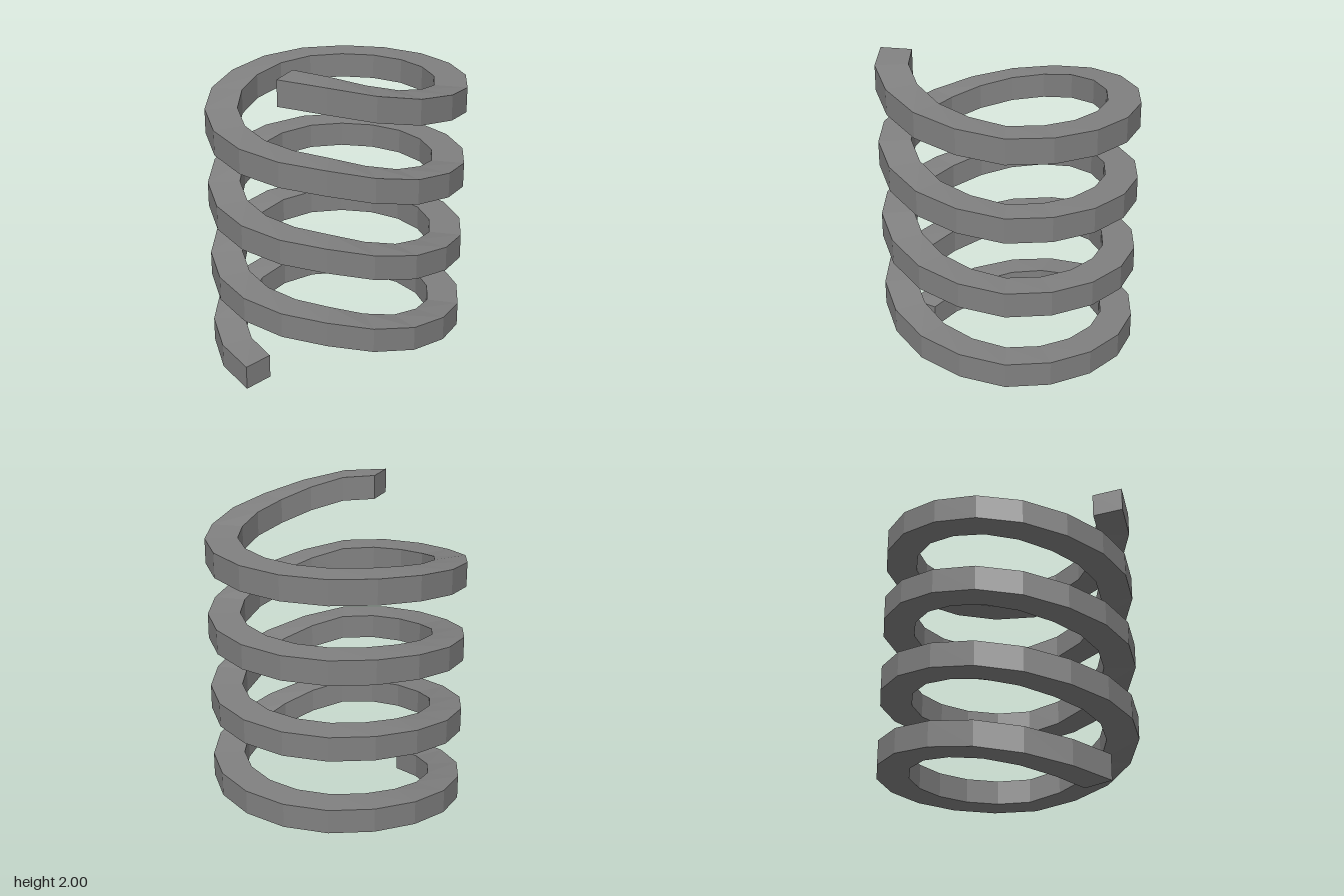
import * as THREE from 'three';

const OUTER = 0.777, INNER = 0.584, THICK = 0.15, PITCH = 0.4667, SIDES = 18;
// Rise of the top edge within one turn, every 20 degrees, starting at the front
const RISE = [0, 0.02, 0.047, 0.09, 0.134, 0.171, 0.203, 0.222, 0.229, 0.234,
  0.238, 0.241, 0.245, 0.254, 0.29, 0.33, 0.386, 0.442];

// Four corners of the bar at one step: outer bottom, outer top, inner top, inner bottom
function section(step) {
  const a = (step / SIDES) * Math.PI * 2;
  const top = 2 - 4 * PITCH + Math.floor(step / SIDES) * PITCH + RISE[step % SIDES];
  const low = Math.max(0, top - THICK);
  const at = (r, y) => [-Math.sin(a) * r, y, Math.cos(a) * r];
  return [at(OUTER, low), at(OUTER, top), at(INNER, top), at(INNER, low)];
}

function coilGeometry(first, last) {
  const pos = [];
  const quad = (a, b, c, d) => pos.push(...a, ...b, ...c, ...a, ...c, ...d);
  for (let i = first; i < last; i++) {
    const s = section(i), n = section(i + 1);
    for (let k = 0; k < 4; k++) {
      const j = (k + 1) % 4;
      quad(s[k], s[j], n[j], n[k]);
    }
  }
  // End caps
  const s = section(first), e = section(last);
  quad(s[0], s[3], s[2], s[1]);
  quad(e[0], e[1], e[2], e[3]);
  const geo = new THREE.BufferGeometry();
  geo.setAttribute('position', new THREE.Float32BufferAttribute(pos, 3));
  geo.computeVertexNormals(); // separate corners give flat faces
  return geo;
}

export function createModel() {
  const group = new THREE.Group();
  group.name = 'spring';
  const steel = new THREE.MeshStandardMaterial({ color: 0x808080 });
  steel.name = 'grey steel';
  // Almost four turns of square bar
  const coil = new THREE.Mesh(coilGeometry(1, 4 * SIDES), steel);
  coil.name = 'coil';
  group.add(coil);
  return group;
}
